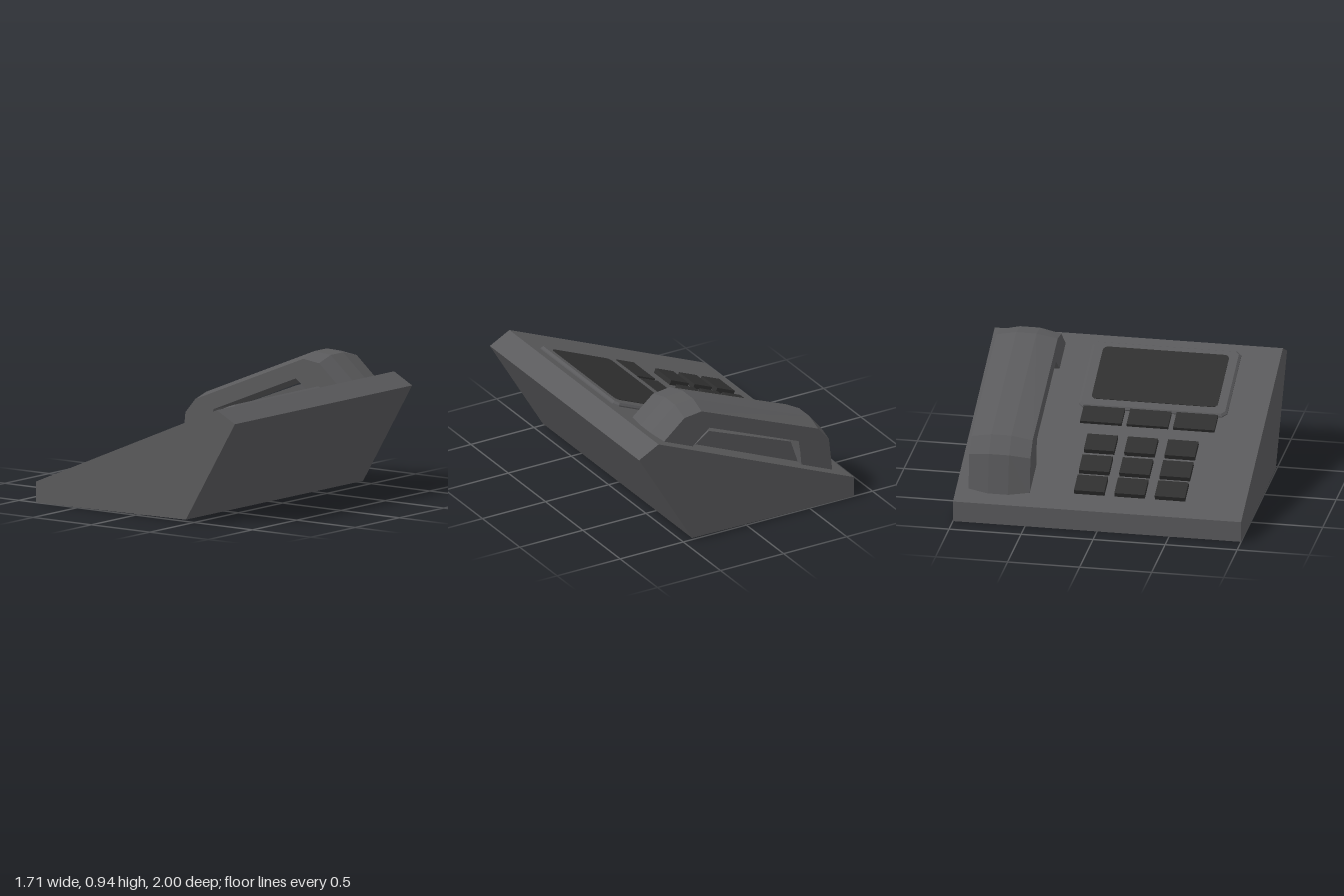
import * as THREE from 'three';

const flat = (name, color) => {
  const m = new THREE.MeshStandardMaterial({ color });
  m.name = name;
  return m;
};

function mesh(name, geometry, material) {
  const m = new THREE.Mesh(geometry, material);
  m.name = name;
  return m;
}

// Extrude an x/y outline between two z positions
function slab(points, z0, z1) {
  const shape = new THREE.Shape(points.map(([x, y]) => new THREE.Vector2(x, y)));
  return new THREE.ExtrudeGeometry(shape, { depth: z1 - z0, bevelEnabled: false }).translate(0, 0, z0);
}

// Rectangle with cut (steps 1) or rounded corners, centred on the origin
function cornered(w, h, r, steps) {
  const s = new THREE.Shape();
  [[1, 1, 0], [-1, 1, 1], [-1, -1, 2], [1, -1, 3]].forEach(([sx, sy, q]) => {
    for (let i = 0; i <= steps; i++) {
      const a = (q + i / steps) * Math.PI / 2;
      const x = sx * (w / 2 - r) + r * Math.cos(a), y = sy * (h / 2 - r) + r * Math.sin(a);
      if (q === 0 && i === 0) s.moveTo(x, y); else s.lineTo(x, y);
    }
  });
  s.closePath();
  return s;
}

// Arched handset: a six-point section swept along matching rows of points
function handsetGeometry() {
  const ridge = [[-0.765, 0.165], [-0.725, 0.46], [-0.635, 0.57], [0.29, 0.945], [0.43, 0.932], [0.64, 0.755]];
  const edge = [[-0.735, 0.165], [-0.705, 0.44], [-0.62, 0.54], [0.305, 0.912], [0.44, 0.895], [0.61, 0.75]];
  const inner = [[-0.49, 0.27], [-0.478, 0.4], [-0.465, 0.485], [0.24, 0.77], [0.3, 0.725], [0.395, 0.645]];
  const rows = ridge.map((r, i) => [
    [...inner[i], -0.49], [...edge[i], -0.49], [...r, -0.635],
    [...r, -0.775], [...edge[i], -0.915], [...inner[i], -0.915],
  ]);
  const pos = [];
  const quad = (a, b, c, d) => pos.push(...a, ...b, ...c, ...a, ...c, ...d);
  for (let i = 0; i < rows.length - 1; i++) {
    for (let j = 0; j < 6; j++) {
      const k = (j + 1) % 6;
      quad(rows[i][j], rows[i + 1][j], rows[i + 1][k], rows[i][k]);
    }
  }
  // Closed ends
  const first = rows[0], last = rows[rows.length - 1];
  for (let j = 1; j < 5; j++) {
    pos.push(...first[0], ...first[j], ...first[j + 1]);
    pos.push(...last[0], ...last[j + 1], ...last[j]);
  }
  const g = new THREE.BufferGeometry();
  g.setAttribute('position', new THREE.Float32BufferAttribute(pos, 3));
  g.computeVertexNormals();
  return g;
}

export function createModel() {
  const casing = flat('casing grey', 0x5a5a5c);
  const dark = flat('key black', 0x2f2f2f);
  const model = new THREE.Group();
  model.name = 'deskPhone';

  // Wedge housing
  model.add(mesh('housing', slab([
    [-0.855, 0], [0.43, 0.012], [0.85, 0.715], [0.695, 0.797], [-0.855, 0.145],
  ], -1, 1), casing));

  // Handset and the cradle below it
  model.add(mesh('handset', handsetGeometry(), casing));
  model.add(mesh('cradle', slab([
    [-0.5, 0.27], [0.36, 0.61], [0.215, 0.715], [-0.435, 0.465],
  ], -0.86, -0.54), casing));

  // Sloped panel: local x runs up the slope, local y points out of it
  const angle = Math.atan2(0.652, 1.55), cos = Math.cos(angle);
  const panel = new THREE.Group();
  panel.name = 'slopedPanel';
  panel.position.set(-0.855, 0.145, 0);
  panel.rotation.z = angle;
  model.add(panel);
  const along = (x) => (x + 0.855) / cos;

  function key(name, x0, x1, z0, z1, height) {
    const g = new THREE.BoxGeometry((x1 - x0) / cos, height + 0.01, z1 - z0);
    const m = mesh(name, g, dark);
    m.position.set(along((x0 + x1) / 2), height / 2 - 0.005, (z0 + z1) / 2);
    panel.add(m);
  }

  // Number pad
  for (const x of [-0.71, -0.53, -0.345])
    for (const z of [-0.185, 0.095, 0.375]) key('numberKey', x, x + 0.14, z, z + 0.21, 0.034);

  // Wide keys beside the screen
  for (const z of [-0.26, 0.063, 0.385]) key('wideKey', -0.088, 0.05, z, z + 0.287, 0.022);

  // Screen surround with a sloping rim, then the screen
  const bezel = new THREE.ExtrudeGeometry(cornered(0.58 / cos - 0.03, 1.0, 0.025, 1), {
    depth: 0.008, bevelSize: 0.015, bevelThickness: 0.014, bevelSegments: 1,
  }).rotateX(-Math.PI / 2);
  const frame = mesh('screenFrame', bezel, casing);
  frame.position.set(along(0.338), 0, 0.215);
  panel.add(frame);

  const plate = new THREE.ExtrudeGeometry(cornered(0.463 / cos, 0.875, 0.035, 4), {
    depth: 0.005, bevelEnabled: false,
  }).rotateX(-Math.PI / 2);
  const screen = mesh('screen', plate, dark);
  screen.position.set(along(0.346), 0.02, 0.217);
  panel.add(screen);

  return model;
}
